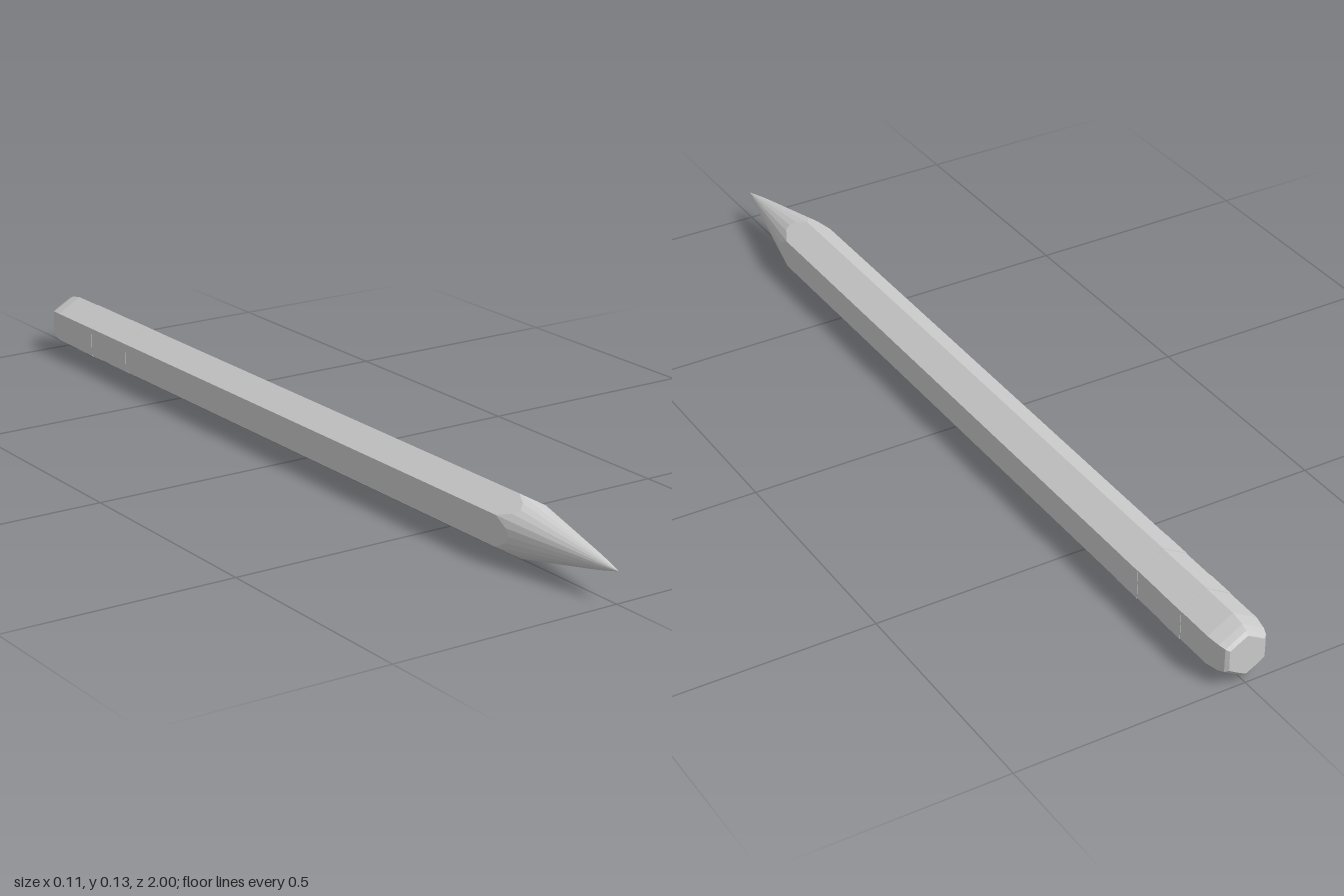
import * as THREE from 'three';

const SIDES = 24;      // four steps per hexagon face
const R = 0.0645;      // corner radius of the hexagon

// Radius factor of a hexagon with a corner at the top (1 at corners, 0.866 mid-face)
function hexFactor(a) {
  const sector = Math.PI / 3;
  const t = (((a - Math.PI / 2) % sector) + sector) % sector;
  return Math.cos(Math.PI / 6) / Math.cos(t - Math.PI / 6);
}

// Loft rings [z, radius, roundness 0..1, scallop depth] from back to front, closed at both ends
function loft(name, rings) {
  const pos = [], index = [];
  for (const [z, r, round = 0, scallop = 0] of rings) {
    for (let i = 0; i < SIDES; i++) {
      const a = Math.PI / 2 + (i / SIDES) * Math.PI * 2;
      const h = hexFactor(a);
      const rad = r * (h + (1 - h) * round);
      pos.push(Math.cos(a) * rad, Math.sin(a) * rad, z + scallop * (1 - h));
    }
  }
  for (let k = 0; k < rings.length - 1; k++) {
    for (let i = 0; i < SIDES; i++) {
      const j = (i + 1) % SIDES;
      const a = k * SIDES + i, b = k * SIDES + j;
      index.push(a, b, b + SIDES, a, b + SIDES, a + SIDES);
    }
  }
  // end caps
  const back = pos.length / 3, front = back + 1, last = (rings.length - 1) * SIDES;
  pos.push(0, 0, rings[0][0], 0, 0, rings[rings.length - 1][0]);
  for (let i = 0; i < SIDES; i++) {
    const j = (i + 1) % SIDES;
    index.push(back, j, i, front, last + i, last + j);
  }
  const geo = new THREE.BufferGeometry();
  geo.setAttribute('position', new THREE.Float32BufferAttribute(pos, 3));
  geo.setIndex(index);
  geo.computeVertexNormals();
  const mesh = new THREE.Mesh(geo, new THREE.MeshStandardMaterial({ color: 0xcccccc, flatShading: true }));
  mesh.name = name;
  return mesh;
}

export function createModel() {
  const pencil = new THREE.Group();
  pencil.name = 'pencil';

  // Hexagonal shaft; its front edge is scalloped where the cone cuts the flats
  pencil.add(loft('shaft', [[-0.65, R - 0.0007], [0.71, R - 0.0007, 0, 0.29]]));

  // Sharpened wood, turning from hexagon to round
  pencil.add(loft('sharpenedWood', [
    [0.71, R - 0.0007, 0, 0.29],
    [0.92, 0.02, 1],
  ]));

  // Lead point
  pencil.add(loft('lead', [[0.92, 0.02, 1], [0.95, 0.0135, 1], [1, 0.001, 1]]));

  // Ferrule with a shallow groove
  pencil.add(loft('ferrule', [
    [-0.865, R], [-0.8, R], [-0.8, R - 0.001],
    [-0.72, R - 0.001], [-0.72, R], [-0.65, R],
  ]));

  // Eraser with a rounded end
  pencil.add(loft('eraser', [
    [-1, 0.044, 0.1], [-0.994, 0.052, 0.05], [-0.98, 0.058],
    [-0.95, R - 0.001], [-0.865, R - 0.001],
  ]));

  // Rest the pencil on the ground
  pencil.children.forEach((part) => { part.position.y = R; });
  return pencil;
}
